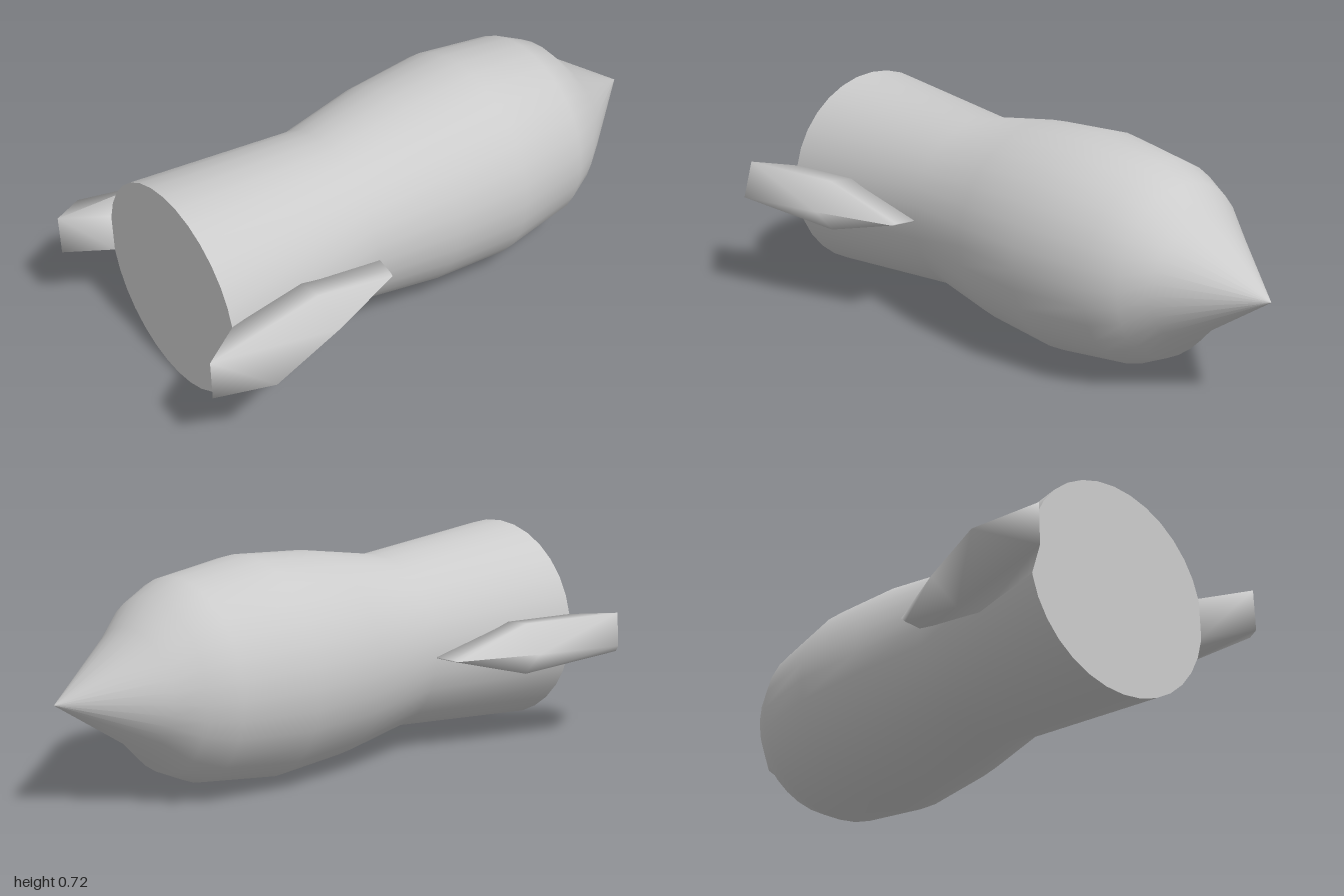
import * as THREE from 'three';
import { toCreasedNormals } from 'three/addons/utils/BufferGeometryUtils.js';

const material = new THREE.MeshStandardMaterial({ color: 0xcccccc });

// Fuselage: a closed tail, a waist, a bulge and a pointed nose towards -z
function makeBody() {
  const profile = [
    [0, -0.86], [0.348, -0.86], [0.296, -0.28], [0.343, 0], [0.362, 0.27],
    [0.326, 0.54], [0.278, 0.64], [0.22, 0.72], [0, 1],
  ].map(([r, h]) => new THREE.Vector2(r, h));
  const geometry = new THREE.LatheGeometry(profile, 32);
  geometry.rotateX(-Math.PI / 2);
  // The nose shoulder is flatter than wide and the nose sits a little higher
  const p = geometry.attributes.position;
  for (let i = 0; i < p.count; i++) {
    const z = p.getZ(i);
    const flat = z < -0.7 ? 0.87 : 1;
    p.setY(i, p.getY(i) * flat + 0.3635 - 0.0065 * z);
  }
  const mesh = new THREE.Mesh(toCreasedNormals(geometry, 0.9), material);
  mesh.name = 'fuselage';
  return mesh;
}

// Fin: five-cornered sections (outer edge, upper ridge, upper root,
// lower root, lower ridge) running from a thin front to a swept tail
function makeFin(side) {
  const section = (outer, ridge, root) => [
    [outer[0], 0, outer[1]],
    [ridge[0], ridge[1], ridge[2]],
    [root[0], root[1], root[2]],
    [root[0], -root[1], root[2]],
    [ridge[0], -ridge[1], ridge[2]],
  ];
  const sections = [
    section([0.38, 0.295], [0.36, 0.002, 0.29], [0.27, 0.002, 0.275]),
    section([0.48, 0.57], [0.4, 0.086, 0.59], [0.3, 0.075, 0.59]),
    section([0.565, 0.86], [0.435, 0.068, 1], [0.342, 0.067, 0.86]),
  ];
  const n = 5;
  const index = [];
  const addFace = (a, b, c) => (side > 0 ? index.push(a, b, c) : index.push(a, c, b));
  for (let s = 0; s < sections.length - 1; s++) {
    for (let i = 0; i < n; i++) {
      const a = s * n + i;
      const b = s * n + ((i + 1) % n);
      addFace(a, b, b + n);
      addFace(a, b + n, a + n);
    }
  }
  // Front and tail closures
  const last = (sections.length - 1) * n;
  for (const [a, b, c] of [[0, 1, 4], [1, 2, 3], [1, 3, 4]]) {
    addFace(a, c, b);
    addFace(last + a, last + b, last + c);
  }
  // The pair is rolled very slightly about the long axis
  const points = sections.flat().flatMap(([x, y, z]) => [side * x, y + 0.363 + side * x * 0.007, z]);
  const geometry = new THREE.BufferGeometry();
  geometry.setAttribute('position', new THREE.Float32BufferAttribute(points, 3));
  geometry.setIndex(index);
  geometry.computeVertexNormals();
  const mesh = new THREE.Mesh(geometry, material);
  mesh.name = side > 0 ? 'leftFin' : 'rightFin';
  return mesh;
}

export function createModel() {
  const group = new THREE.Group();
  group.name = 'rocket';
  group.add(makeBody(), makeFin(1), makeFin(-1));
  return group;
}
